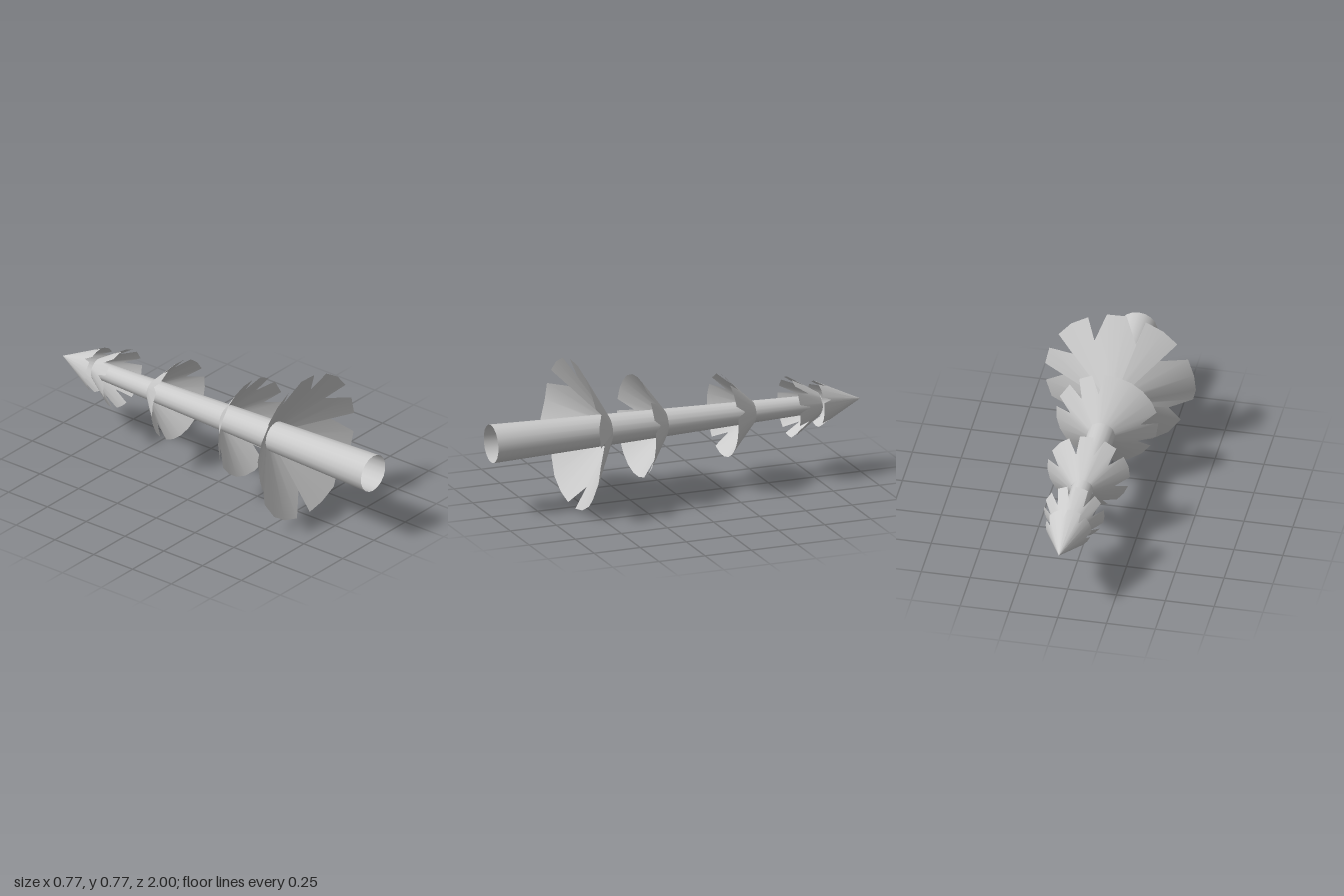
import * as THREE from 'three';

const AXIS_X = -0.006, AXIS_Y = 0.386;
const material = new THREE.MeshStandardMaterial({ color: 0xcccccc, side: THREE.DoubleSide });

// Cone-shaped skirt opening toward +z; its torn rim is given as [angle, radius, lift] points
function skirt(name, zTop, rTop, zRim, rRim, rim) {
  const positions = [], index = [];
  const n = rim.length;
  for (const [a, r, lift = 0] of rim) {
    const z = zTop + (zRim - zTop) * (r - rTop) / (rRim - rTop) + lift;
    positions.push(Math.cos(a) * rTop, Math.sin(a) * rTop, zTop);
    positions.push(Math.cos(a) * r, Math.sin(a) * r, z);
  }
  for (let i = 0; i < n; i++) {
    const a = 2 * i, b = a + 1, c = 2 * ((i + 1) % n), d = c + 1;
    index.push(a, d, b);
    if (rTop > 0) index.push(a, c, d);
  }
  const geometry = new THREE.BufferGeometry();
  geometry.setAttribute('position', new THREE.Float32BufferAttribute(positions, 3));
  geometry.setIndex(index);
  geometry.computeVertexNormals();
  const mesh = new THREE.Mesh(geometry, material);
  mesh.name = name;
  return mesh;
}

// Round rim with V-shaped notches at the given angles (degrees, ascending)
function notchedRim(radius, depth, halfWidth, notches) {
  const rim = [];
  notches.forEach((start, i) => {
    const end = i + 1 < notches.length ? notches[i + 1] : notches[0] + 360;
    rim.push([THREE.MathUtils.degToRad(start), radius * (1 - depth)]);
    const from = start + halfWidth, span = end - halfWidth - from;
    const steps = Math.max(1, Math.round(span / 16));
    for (let k = 0; k <= steps; k++) {
      rim.push([THREE.MathUtils.degToRad(from + span * k / steps), radius]);
    }
  });
  return rim;
}

// Outline of the largest skirt, clockwise as x, y and optional droop
const lowestOutline = [
  [-0.034, 0.772], [0.067, 0.768], [0.118, 0.642], [0.163, 0.737],
  [0.25, 0.685], [0.315, 0.61], [0.23, 0.548], [0.362, 0.52],
  [0.384, 0.422], [0.278, 0.412], [0.38, 0.32], [0.35, 0.224],
  [0.215, 0.207], [0.253, 0.114], [0.222, 0.07], [0.13, 0.023],
  [0.034, 0.003], [0.025, 0.108], [-0.067, 0.008], [-0.165, 0.037],
  [-0.25, 0.092], [-0.313, 0.183], [-0.264, 0.291], [-0.37, 0.291, 0.03],
  [-0.386, 0.357, 0.02], [-0.38, 0.458], [-0.35, 0.552], [-0.215, 0.568],
  [-0.295, 0.637], [-0.222, 0.705], [-0.133, 0.75], [-0.096, 0.651],
];

export function createModel() {
  const group = new THREE.Group();
  group.name = 'fallenTree';

  // Tapered hollow trunk lying along z
  const trunkGeometry = new THREE.CylinderGeometry(0.045, 0.098, 1.78, 18, 1, true);
  trunkGeometry.rotateX(-Math.PI / 2);
  trunkGeometry.translate(0, 0, 0.11);
  const trunk = new THREE.Mesh(trunkGeometry, material);
  trunk.name = 'trunk';
  group.add(trunk);

  // Branch skirts from the base to the tip
  const lowestRim = lowestOutline.map(([x, y, lift = 0]) => {
    const dx = x - AXIS_X, dy = y - AXIS_Y;
    return [Math.atan2(dy, dx), Math.hypot(dx, dy), lift];
  }).reverse();
  group.add(
    skirt('lowestBranches', 0.37, 0.078, 0.56, 0.386, lowestRim),
    skirt('lowerBranches', 0.065, 0.07, 0.212, 0.262,
      notchedRim(0.262, 0.3, 7, [15, 50, 80, 172, 205, 300])),
    skirt('middleBranches', -0.415, 0.057, -0.255, 0.212,
      notchedRim(0.212, 0.3, 8, [20, 70, 105, 140, 190, 235])),
    skirt('upperBranches', -0.77, 0.06, -0.615, 0.155,
      notchedRim(0.155, 0.3, 8, [12, 50, 85, 125, 160, 205, 245, 290, 330])),
    skirt('topBranches', -1, 0, -0.76, 0.117,
      notchedRim(0.117, 0.2, 8, [25, 80, 130, 190, 240, 310])),
  );

  group.children.forEach((part) => part.position.set(AXIS_X, AXIS_Y, 0));
  return group;
}
